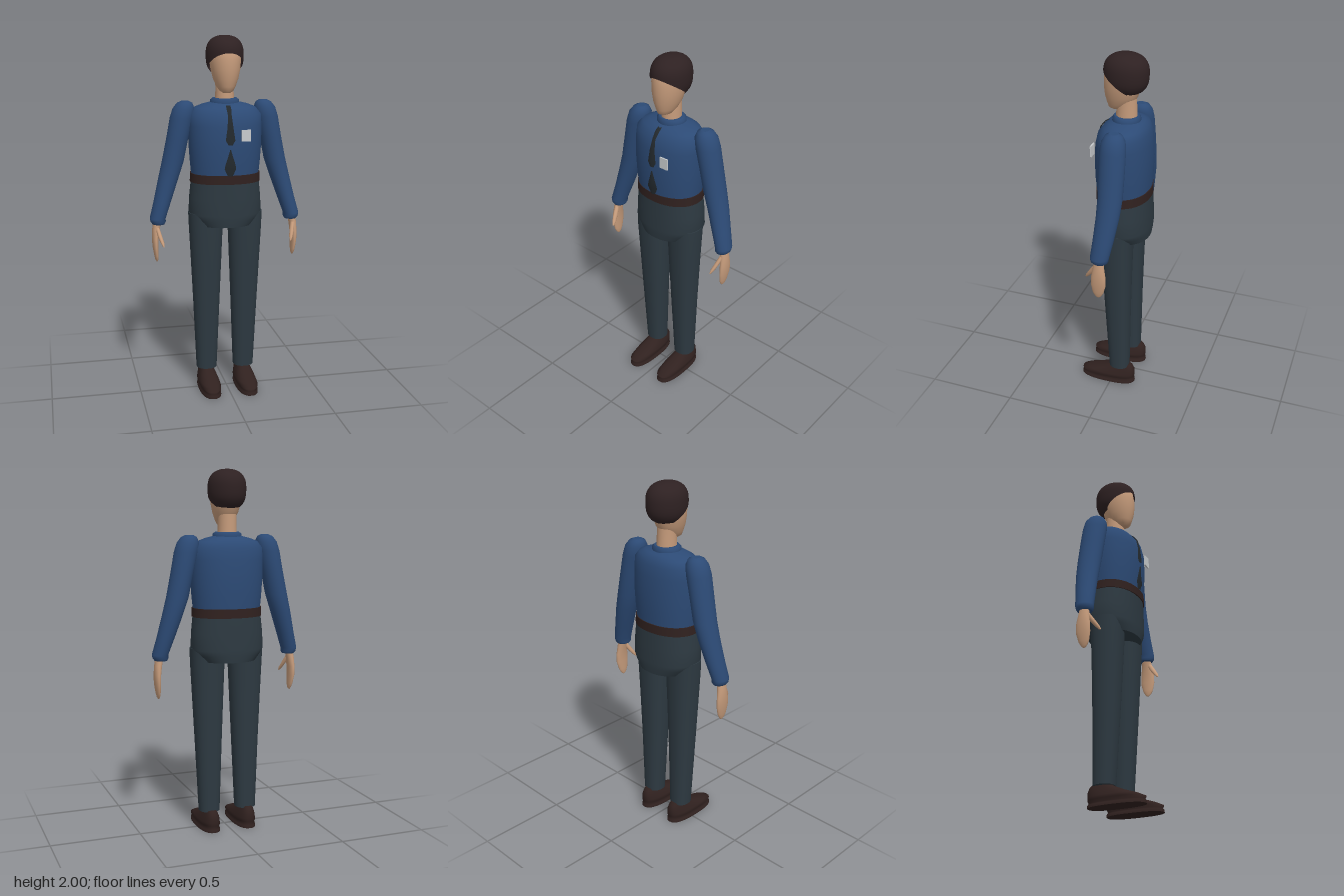
import * as THREE from 'three';

const material = (name, color, side = THREE.FrontSide) => {
  const m = new THREE.MeshStandardMaterial({ color, side });
  m.name = name;
  return m;
};

// Closed solid through stacked superellipse rings: [y, centreX, centreZ, radiusX, radiusZ]
function loft(sections, { side = 1, power = 2, segments = 32 } = {}) {
  const rings = [...sections].sort((a, b) => a[0] - b[0]);
  const pos = [], index = [];
  const bend = v => Math.sign(v) * Math.abs(v) ** (2 / power);
  const addRing = ([y, cx, cz, rx, rz]) => {
    for (let j = 0; j < segments; j++) {
      const a = j / segments * Math.PI * 2;
      pos.push(side * cx + rx * bend(Math.cos(a)), y, cz + rz * bend(Math.sin(a)));
    }
  };
  rings.forEach(addRing);
  for (let i = 0; i < rings.length - 1; i++) {
    for (let j = 0; j < segments; j++) {
      const k = (j + 1) % segments;
      const a = i * segments + j, b = i * segments + k;
      const c = a + segments, d = b + segments;
      index.push(a, c, b, b, c, d);
    }
  }
  // Flat end caps with their own vertices
  [rings[0], rings[rings.length - 1]].forEach((ring, top) => {
    const start = pos.length / 3;
    addRing(ring);
    pos.push(side * ring[1], ring[0], ring[2]);
    for (let j = 0; j < segments; j++) {
      const a = start + j, b = start + (j + 1) % segments, centre = start + segments;
      index.push(...(top ? [centre, b, a] : [centre, a, b]));
    }
  });
  return surface(pos, index);
}

function surface(pos, index) {
  const g = new THREE.BufferGeometry();
  g.setAttribute('position', new THREE.Float32BufferAttribute(pos, 3));
  g.setIndex(index);
  g.computeVertexNormals();
  return g;
}

// Rounded cap of hair whose lower edge slopes down towards the nape
function hairCap(segments = 40, rows = 16) {
  const pos = [], index = [];
  for (let i = 0; i <= rows; i++) {
    for (let j = 0; j < segments; j++) {
      const a = j / segments * Math.PI * 2;
      const edge = Math.max(1.785, 1.85 + 0.72 * (-0.04 + 0.12 * Math.sin(a)));
      const y = edge + (2 - edge) * Math.cos(i / rows * Math.PI / 2);
      const f = y > 1.9
        ? Math.max(0, 1 - ((y - 1.9) / 0.1) ** 2.4) ** (1 / 2.4)
        : (1 - ((1.9 - y) / 0.125) ** 3) ** 0.5;
      pos.push(0.102 * f * Math.cos(a), y, -0.04 + 0.12 * f * Math.sin(a));
      if (i < rows) {
        const k = (j + 1) % segments, p = i * segments;
        index.push(p + j, p + k, p + segments + j, p + k, p + segments + k, p + segments + j);
      }
    }
  }
  return surface(pos, index);
}

const torso = [
  [1.645, 0, -0.045, 0.07, 0.06], [1.632, 0, -0.045, 0.125, 0.09], [1.615, 0, -0.043, 0.17, 0.113],
  [1.58, 0, -0.037, 0.2, 0.134], [1.52, 0, -0.034, 0.203, 0.146], [1.42, 0, -0.034, 0.202, 0.151],
  [1.32, 0, -0.034, 0.195, 0.148], [1.24, 0, -0.035, 0.187, 0.142],
];

// Front depth of the torso at a height
function torsoFront(y) {
  const i = Math.max(1, torso.findIndex(s => s[0] <= y));
  const [a, b] = [torso[i - 1], torso[i]];
  return THREE.MathUtils.mapLinear(y, a[0], b[0], a[2] + a[4], b[2] + b[4]);
}

// Ridged strip lying on the chest, rows of [y, halfWidth] from top to bottom
function tieStrip(rows) {
  const pos = [], index = [];
  rows.forEach(([y, w], i) => {
    const z = torsoFront(y);
    pos.push(-w, y, z + 0.002, 0, y, z + 0.008, w, y, z + 0.002);
    if (i) for (const c of [0, 1]) {
      const a = (i - 1) * 3 + c, b = i * 3 + c;
      index.push(a, b, a + 1, a + 1, b, b + 1);
    }
  });
  return surface(pos, index);
}

export function createModel() {
  const model = new THREE.Group();
  model.name = 'standingMan';
  const shirt = material('blue shirt', 0x2c4a75);
  const trousers = material('slate trousers', 0x2d3941);
  const brown = material('dark brown', 0x30211f, THREE.DoubleSide);
  const hair = material('hair brown', 0x2e2122, THREE.DoubleSide);
  const skin = material('skin', 0xc49a7a);
  const tie = material('charcoal tie', 0x23292d, THREE.DoubleSide);
  const silver = material('pale badge', 0xc9ccce);

  const add = (name, geometry, mat) => {
    const mesh = new THREE.Mesh(geometry, mat);
    mesh.name = name;
    model.add(mesh);
    return mesh;
  };

  // Head and neck
  add('head', loft([
    [1.695, 0, 0.015, 0.018, 0.022], [1.705, 0, 0.01, 0.036, 0.045], [1.73, 0, -0.005, 0.052, 0.068],
    [1.77, 0, -0.014, 0.068, 0.088], [1.82, 0, -0.02, 0.08, 0.099], [1.87, 0, -0.026, 0.085, 0.104],
    [1.92, 0, -0.033, 0.085, 0.103], [1.96, 0, -0.038, 0.065, 0.08],
  ]), skin);
  add('neck', loft([
    [1.77, 0, -0.045, 0.05, 0.05], [1.7, 0, -0.043, 0.05, 0.055], [1.6, 0, -0.043, 0.055, 0.06],
  ]), skin);
  add('hair', hairCap(), hair);

  // Upper body
  add('torso', loft(torso, { power: 2.15, segments: 48 }), shirt);
  add('collar', loft([
    [1.665, 0, -0.043, 0.066, 0.066], [1.655, 0, -0.043, 0.079, 0.074],
    [1.63, 0, -0.043, 0.081, 0.077], [1.61, 0, -0.043, 0.075, 0.07],
  ]), shirt);
  add('upperTie', tieStrip([
    [1.63, 0.012], [1.615, 0.013], [1.58, 0.01], [1.52, 0.016], [1.45, 0.026], [1.425, 0.012],
  ]), tie);
  add('lowerTie', tieStrip([[1.4, 0.002], [1.36, 0.014], [1.32, 0.027], [1.295, 0.032], [1.255, 0.014]]), tie);
  const badge = add('badge', new THREE.BoxGeometry(0.05, 0.062, 0.008), silver);
  badge.position.set(0.085, 1.475, 0.12);

  // Belt and hips
  add('belt', loft([
    [1.257, 0, -0.036, 0.194, 0.147], [1.208, 0, -0.036, 0.196, 0.148],
  ], { power: 2.15, segments: 48 }), brown);
  add('hips', loft([
    [1.215, 0, -0.037, 0.19, 0.143], [1.12, 0, -0.039, 0.2, 0.146], [1.03, 0, -0.04, 0.204, 0.147],
    [1.0, 0, -0.04, 0.185, 0.146], [0.965, 0, -0.04, 0.155, 0.142],
  ], { power: 2.2, segments: 48 }), trousers);

  // Paired limbs
  for (const [side, label] of [[1, 'left'], [-1, 'right']]) {
    add(label + 'Sleeve', loft([
      [1.65, 0.218, -0.05, 0.022, 0.025], [1.64, 0.22, -0.05, 0.042, 0.045], [1.61, 0.226, -0.05, 0.06, 0.062],
      [1.56, 0.238, -0.05, 0.064, 0.069], [1.45, 0.262, -0.052, 0.06, 0.069], [1.32, 0.289, -0.054, 0.06, 0.066],
      [1.22, 0.318, -0.05, 0.055, 0.062], [1.1, 0.353, -0.038, 0.048, 0.056], [1.01, 0.381, -0.027, 0.044, 0.051],
      [0.99, 0.379, -0.026, 0.042, 0.048], [0.978, 0.377, -0.026, 0.034, 0.04],
    ], { side }), shirt);
    add(label + 'Hand', loft([
      [1.0, 0.383, -0.025, 0.022, 0.025], [0.95, 0.392, -0.025, 0.021, 0.031], [0.9, 0.397, -0.025, 0.018, 0.04],
      [0.85, 0.397, -0.024, 0.016, 0.042], [0.8, 0.393, -0.021, 0.012, 0.031], [0.775, 0.391, -0.02, 0.008, 0.018],
      [0.765, 0.39, -0.02, 0.003, 0.007],
    ], { side, segments: 20 }), skin);
    add(label + 'Thumb', loft([
      [0.96, 0.387, -0.008, 0.011, 0.014], [0.92, 0.377, 0.017, 0.012, 0.016],
      [0.885, 0.366, 0.042, 0.01, 0.013], [0.865, 0.36, 0.056, 0.004, 0.006],
    ], { side, segments: 14 }), skin);
    add(label + 'TrouserLeg', loft([
      [1.035, 0.112, -0.03, 0.096, 0.09], [0.95, 0.111, -0.028, 0.094, 0.088], [0.75, 0.11, -0.03, 0.085, 0.08],
      [0.5, 0.109, -0.034, 0.074, 0.071], [0.11, 0.108, -0.043, 0.058, 0.058],
    ], { side, power: 2.3 }), trousers);
    add(label + 'Shoe', loft([
      [0.12, 0.108, -0.055, 0.03, 0.052], [0.105, 0.108, -0.054, 0.036, 0.07], [0.08, 0.107, -0.03, 0.047, 0.104],
      [0.055, 0.107, 0.008, 0.056, 0.142], [0.038, 0.107, 0.027, 0.06, 0.161], [0.024, 0.107, 0.027, 0.048, 0.155],
      [0.015, 0.107, 0.027, 0.058, 0.162], [0, 0.107, 0.027, 0.06, 0.163],
    ], { side, power: 2.5 }), brown);
  }
  return model;
}
